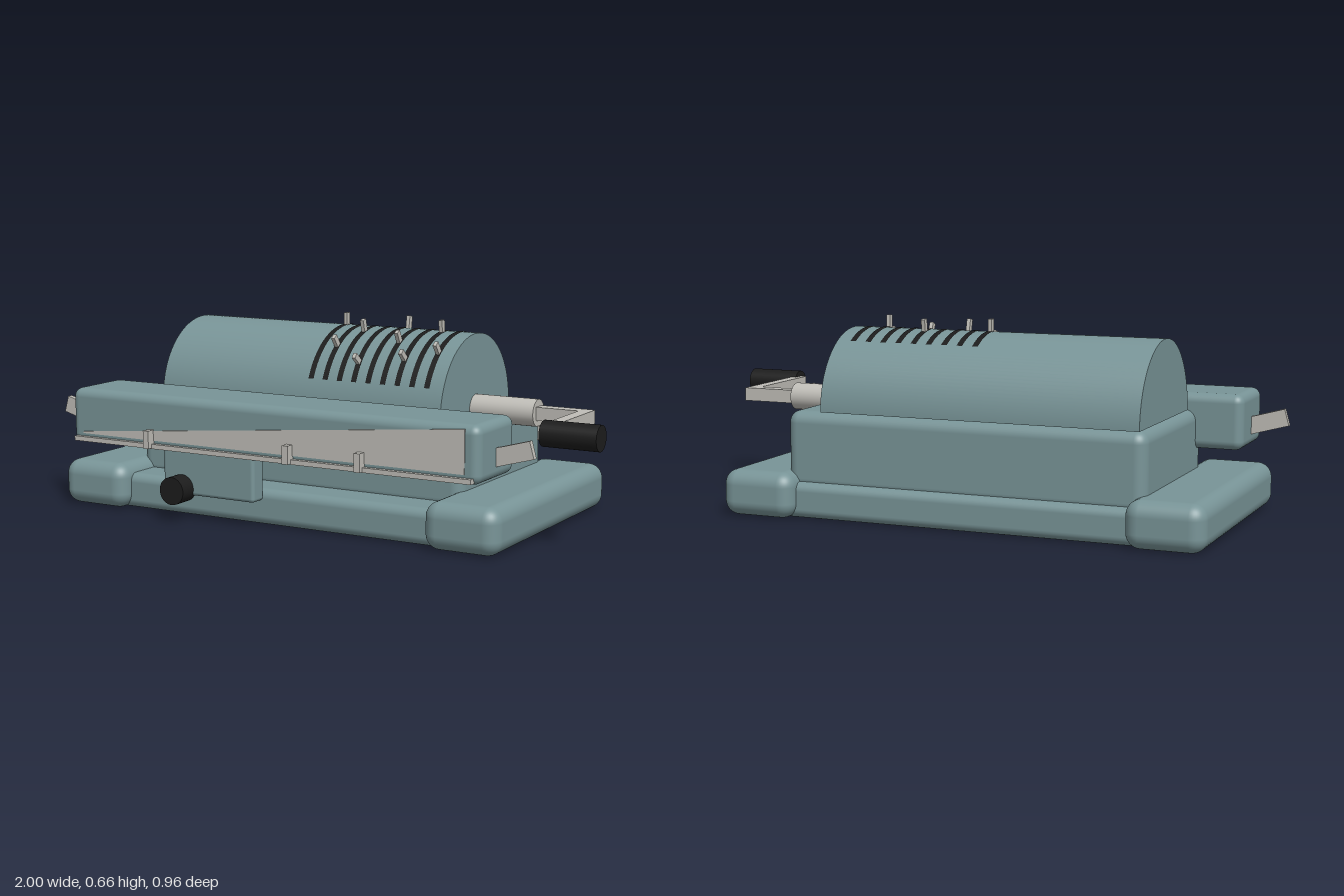
import * as THREE from 'three';
import { RoundedBoxGeometry } from 'three/addons/geometries/RoundedBoxGeometry.js';

const enamel = new THREE.MeshStandardMaterial({ color: 0x789497 });
enamel.name = 'greyGreenEnamel';
const steel = new THREE.MeshStandardMaterial({ color: 0xbfbdb7 });
steel.name = 'paleSteel';
const black = new THREE.MeshStandardMaterial({ color: 0x1c1c1c });
black.name = 'blackPlastic';

export function createModel() {
  const model = new THREE.Group();
  model.name = 'mechanicalCalculator';

  const add = (name, geometry, material, x = 0, y = 0, z = 0, parent = model) => {
    const mesh = new THREE.Mesh(geometry, material);
    mesh.name = name;
    mesh.position.set(x, y, z);
    parent.add(mesh);
    return mesh;
  };
  // Box given by its limits on each axis, rounded when a radius is given
  const block = (name, material, [x0, x1], [y0, y1], [z0, z1], radius = 0, parent = model) => {
    const size = [x1 - x0, y1 - y0, z1 - z0];
    const geometry = radius
      ? new RoundedBoxGeometry(...size, 5, radius)
      : new THREE.BoxGeometry(...size);
    return add(name, geometry, material, (x0 + x1) / 2, (y0 + y1) / 2, (z0 + z1) / 2, parent);
  };
  // Cylinder lying along x
  const rodX = (name, material, r, x0, x1, y, z, parent = model) =>
    add(name, new THREE.CylinderGeometry(r, r, x1 - x0, 32).rotateZ(-Math.PI / 2),
      material, (x0 + x1) / 2, y, z, parent);

  // Base with raised ends, and the body on it
  block('baseSlab', enamel, [-0.88, 0.71], [0, 0.12], [-0.43, 0.36], 0.03);
  block('rightFoot', enamel, [-0.92, -0.66], [0, 0.155], [-0.48, 0.41], 0.05);
  block('leftFoot', enamel, [0.49, 0.75], [0, 0.155], [-0.48, 0.41], 0.05);
  block('body', enamel, [-0.71, 0.54], [0.09, 0.355], [-0.4, 0.225], 0.04);

  // Half-round drum cover
  const axisY = 0.357, axisZ = -0.14, radius = 0.262;
  const drum = new THREE.Group();
  drum.name = 'drum';
  drum.position.set(0, axisY, axisZ);
  model.add(drum);
  add('drumCover',
    new THREE.CylinderGeometry(radius, radius, 1.1, 64, 1, false, Math.PI, Math.PI).rotateZ(-Math.PI / 2),
    enamel, -0.14, 0, 0, drum);
  add('drumUnderside', new THREE.PlaneGeometry(1.1, radius * 2).rotateX(Math.PI / 2),
    enamel, -0.14, 0, 0, drum);

  // Setting slots, each with a pin at its own angle forward of vertical
  const pinAngles = [0, 37, 15.5, 51, -9.5, 28, 45.5, 6, 37];
  const deg = THREE.MathUtils.degToRad;
  const slotGeometry = new THREE.CylinderGeometry(
    radius + 0.002, radius + 0.002, 0.02, 40, 1, true, deg(-31 - 90), deg(98)).rotateZ(-Math.PI / 2);
  const pinGeometry = new THREE.BoxGeometry(0.013, 0.055, 0.02).translate(0, 0.277, 0);
  pinAngles.forEach((angle, i) => {
    const x = -0.09 + i * 0.055;
    add('slot' + (i + 1), slotGeometry, black, x, 0, 0, drum);
    add('settingPin' + (i + 1), pinGeometry, steel, x, 0, 0, drum).rotation.x = deg(angle);
  });

  // Carriage along the front
  const carriage = new THREE.Group();
  carriage.name = 'carriage';
  model.add(carriage);
  block('carriageCase', enamel, [-0.87, 0.69], [0.223, 0.41], [0.15, 0.41], 0.03, carriage);
  block('decimalRail', steel, [-0.85, 0.67], [0.23, 0.246], [0.39, 0.425], 0, carriage);
  for (const x of [-0.535, 0.015, 0.28])
    block('decimalMarker', steel, [x - 0.011, x + 0.011], [0.232, 0.293], [0.405, 0.442], 0, carriage);

  // Wedge-shaped face plate
  const wedge = new THREE.Shape();
  wedge.moveTo(-0.82, 0.256);
  wedge.lineTo(0.642, 0.256);
  wedge.lineTo(0.642, 0.398);
  wedge.lineTo(-0.82, 0.262);
  add('facePlate', new THREE.ExtrudeGeometry(wedge, { depth: 0.006, bevelEnabled: false }),
    steel, 0, 0, 0.407, carriage);

  // Tilted clearing levers at both ends
  for (const side of [-1, 1]) {
    const lever = add('clearingLever', new THREE.BoxGeometry(0.15, 0.058, 0.02),
      steel, -0.09 + side * 0.828, 0.308, 0.28, carriage);
    lever.rotation.z = side * 0.27;
  }

  // Front bracket with the shift knob
  block('frontBracket', enamel, [-0.48, -0.12], [0.085, 0.24], [0.355, 0.42], 0.012);
  add('shiftKnob', new THREE.CylinderGeometry(0.047, 0.047, 0.075, 32).rotateX(Math.PI / 2),
    black, -0.405, 0.107, 0.4425);

  // Crank on the left end
  const crank = new THREE.Group();
  crank.name = 'crank';
  model.add(crank);
  rodX('crankHub', steel, 0.046, 0.4, 0.64, 0.368, axisZ, crank);
  block('crankShaft', steel, [0.63, 0.83], [0.345, 0.39], [-0.165, -0.12], 0, crank);
  block('crankArm', steel, [0.79, 0.83], [0.345, 0.39], [-0.165, 0.205], 0, crank);
  rodX('crankHandle', black, 0.042, 0.81, 1, 0.368, 0.2, crank);

  return model;
}
